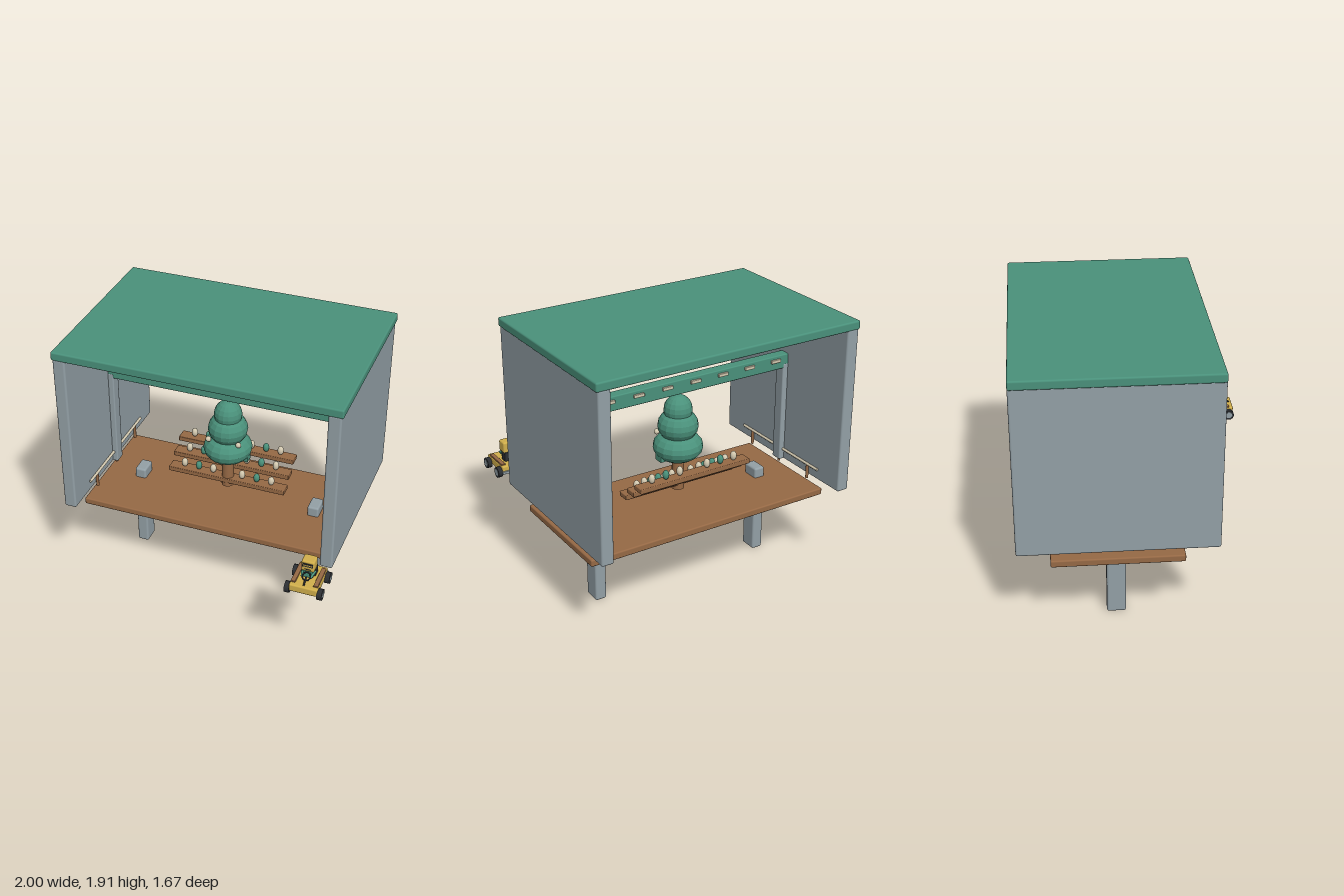
import * as THREE from 'three';
import { RoundedBoxGeometry } from 'three/addons/geometries/RoundedBoxGeometry.js';

const CX = -0.01, CZ = -0.175; // centre of the pavilion

function makeMaterial(name, color) {
  const m = new THREE.MeshStandardMaterial({ color });
  m.name = name;
  return m;
}

export function createModel() {
  const model = new THREE.Group();
  model.name = 'pavilion';
  const green = makeMaterial('green', 0x4a917b);
  const grey = makeMaterial('grey', 0x93a0a6);
  const brown = makeMaterial('brown', 0x966945);
  const beige = makeMaterial('beige', 0xd3c9b0);
  const yellow = makeMaterial('yellow', 0xd2b04c);
  const dark = makeMaterial('dark', 0x2c2f33);

  const group = (name) => {
    const g = new THREE.Group();
    g.name = name;
    model.add(g);
    return g;
  };
  const add = (parent, name, geo, mat, x, y, z) => {
    const m = new THREE.Mesh(geo, mat);
    m.name = name;
    m.position.set(x, y, z);
    parent.add(m);
    return m;
  };
  const box = (parent, name, mat, w, h, d, x, y, z, r = 0.008) =>
    add(parent, name, new RoundedBoxGeometry(w, h, d, 2, r), mat, x, y, z);
  const faceted = (geo) => {
    const g = geo.toNonIndexed();
    g.computeVertexNormals();
    return g;
  };
  // rod between two points
  const rod = (parent, name, mat, r, a, b) => {
    const from = new THREE.Vector3(...a), to = new THREE.Vector3(...b);
    const dir = to.clone().sub(from);
    const m = add(parent, name, new THREE.CylinderGeometry(r, r, dir.length(), 10), mat, 0, 0, 0);
    m.position.copy(from).add(to).multiplyScalar(0.5);
    m.quaternion.setFromUnitVectors(new THREE.Vector3(0, 1, 0), dir.normalize());
    return m;
  };

  // Shelter: roof, walls, cross beam with its posts
  const shelter = group('shelter');
  box(shelter, 'roof', green, 1.98, 0.063, 1.32, CX, 1.878, CZ, 0.012);
  box(shelter, 'beam', green, 1.79, 0.105, 0.08, CX, 1.4375, CZ);
  for (const s of [-1, 1]) {
    box(shelter, 'wall', grey, 0.088, 1.19, 1.32, CX + s * 0.935, 1.262, CZ, 0.014);
    box(shelter, 'beamPost', grey, 0.046, 0.75, 0.085, CX + s * 0.873, 1.045, CZ, 0.01);
  }
  for (let i = 0; i < 8; i++) {
    box(shelter, 'beamPlaque', beige, 0.08, 0.024, 0.02, CX + (i - 3.5) * 0.223, 1.455, CZ - 0.045, 0.004);
  }
  for (let i = -1; i <= 1; i++) {
    box(shelter, 'ceilingStrip', beige, 0.545, 0.014, 0.018, CX, 1.832, CZ + i * 0.567, 0.004);
  }

  // Floor deck on two legs
  const deck = group('deck');
  box(deck, 'floor', brown, 1.87, 0.05, 0.88, CX, 0.565, CZ, 0.01);
  for (const s of [-1, 1]) {
    box(deck, 'leg', grey, 0.083, 0.663, 0.13, CX + s * 0.662, 0.3315, CZ, 0.015);
  }

  // Side railings
  const railings = group('railings');
  for (const s of [-1, 1]) {
    const x = CX + s * 0.88;
    for (const z of [-0.33, 0, 0.33]) {
      rod(railings, 'railPost', brown, 0.011, [x, 0.642, CZ + z], [x, 0.75, CZ + z]);
    }
    rod(railings, 'rail', beige, 0.01, [x, 0.75, CZ - 0.44], [x, 0.75, CZ + 0.44]);
  }

  // Stepped benches with a row of egg figures on each
  const benches = group('benches');
  const egg = new THREE.SphereGeometry(1, 14, 10).scale(0.023, 0.034, 0.023);
  for (let row = 0; row < 3; row++) {
    const y = 0.718 + row * 0.067, z = -0.17 - row * 0.1;
    box(benches, 'bench', brown, 0.88, 0.036, 0.09, CX, y, z, 0.006);
    for (let i = -3; i <= 3; i++) {
      if (i === 0) continue;
      add(benches, 'eggFigure', egg, i % 2 ? beige : green, CX + i * 0.11, y + 0.053, z);
    }
  }

  // Tree
  const tree = group('tree');
  add(tree, 'trunk', new THREE.CylinderGeometry(0.04, 0.045, 0.26, 14), brown, CX, 0.795, CZ);
  box(tree, 'foliageBase', green, 0.32, 0.075, 0.07, CX, 0.945, CZ, 0.004);
  for (const [r, h, y] of [[0.175, 0.113, 0.99], [0.142, 0.118, 1.145], [0.1, 0.107, 1.26]]) {
    add(tree, 'foliage', faceted(new THREE.SphereGeometry(1, 16, 10).scale(r, h, r)), green, CX, y, CZ);
  }
  for (const s of [-1, 1]) {
    add(tree, 'bauble', new THREE.SphereGeometry(0.02, 14, 10), beige, CX + s * 0.112, 1.083, CZ + 0.095);
  }

  // Buggy with its driver, facing the front
  const buggy = group('buggy');
  const bx = 0.873;
  box(buggy, 'chassis', yellow, 0.19, 0.055, 0.25, bx, 0.73, 0.705, 0.01);
  box(buggy, 'rearBumper', grey, 0.2, 0.02, 0.016, bx, 0.712, 0.577, 0.004);
  for (const s of [-1, 1]) {
    box(buggy, 'sideRail', brown, 0.032, 0.014, 0.195, bx + s * 0.076, 0.76, 0.702, 0.004);
    for (const z of [0.62, 0.796]) {
      const x = bx + s * 0.109;
      rod(buggy, 'tyre', dark, 0.039, [x - 0.017, 0.707, z], [x + 0.017, 0.707, z]);
      rod(buggy, 'hub', grey, 0.025, [x - 0.019, 0.707, z], [x + 0.019, 0.707, z]);
    }
  }
  box(buggy, 'seat', dark, 0.09, 0.065, 0.055, bx, 0.79, 0.672, 0.006);
  rod(buggy, 'steeringColumn', dark, 0.006, [bx, 0.76, 0.81], [bx, 0.79, 0.757]);
  const wheel = add(buggy, 'steeringWheel', new THREE.TorusGeometry(0.027, 0.005, 8, 20), dark, bx, 0.792, 0.755);
  wheel.rotation.x = -0.95;

  const driver = new THREE.Group();
  driver.name = 'driver';
  buggy.add(driver);
  box(driver, 'torso', green, 0.07, 0.06, 0.04, bx, 0.787, 0.706, 0.008);
  box(driver, 'head', yellow, 0.088, 0.084, 0.08, bx, 0.857, 0.697, 0.012);
  box(driver, 'visor', dark, 0.072, 0.028, 0.008, bx, 0.868, 0.737, 0.003);
  box(driver, 'visorBand', yellow, 0.06, 0.008, 0.008, bx, 0.868, 0.739, 0.002);
  box(driver, 'mouth', dark, 0.04, 0.006, 0.006, bx, 0.834, 0.737, 0.002);
  for (const s of [-1, 1]) {
    rod(driver, 'arm', green, 0.009, [bx + s * 0.042, 0.805, 0.7], [bx + s * 0.028, 0.787, 0.757]);
  }
  return model;
}
